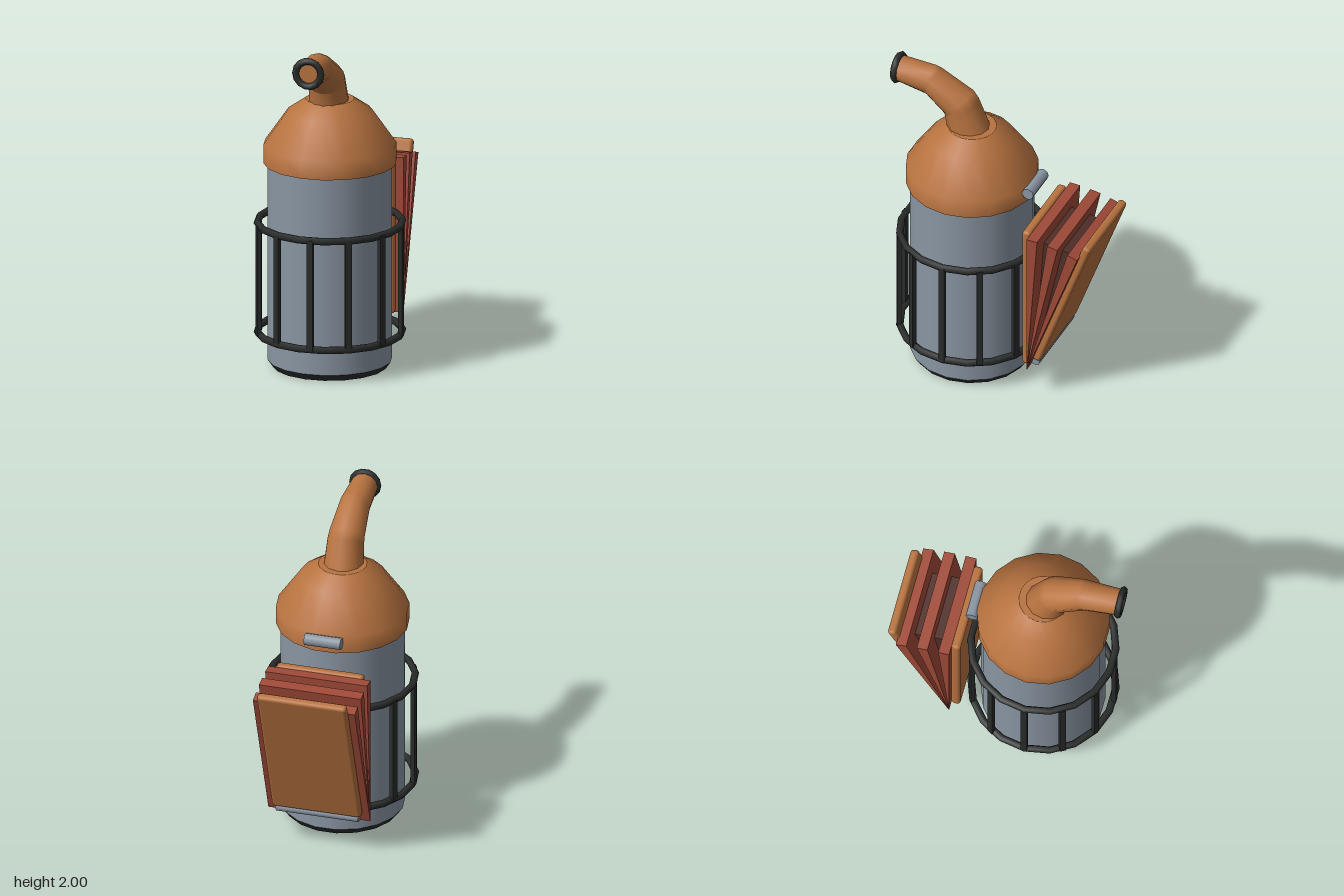
import * as THREE from 'three';
import { RoundedBoxGeometry } from 'three/addons/geometries/RoundedBoxGeometry.js';

const SIDES = 18;
const CAN_Z = 0.195;

const paint = (name, color) => {
  const m = new THREE.MeshStandardMaterial({ color });
  m.name = name;
  return m;
};

// Triangular slice fanned out from the hinge line, extruded across x
function slice(from, to, radius, halfWidth) {
  const s = new THREE.Shape();
  s.moveTo(0, 0);
  for (const a of [to, from]) s.lineTo(radius * Math.sin(a), radius * Math.cos(a));
  s.closePath();
  return new THREE.ExtrudeGeometry(s, { depth: halfWidth * 2, bevelEnabled: false })
    .translate(0, 0, -halfWidth)
    .rotateY(Math.PI / 2);
}

// Loft through tilted rings: [lower z, lower y, upper z, upper y, half width]
function loft(rings, sides) {
  const pos = [], idx = [];
  rings.forEach(([z0, y0, z1, y1, w], r) => {
    for (let i = 0; i < sides; i++) {
      const t = (i / sides) * Math.PI * 2, s = Math.sin(t) / 2;
      pos.push(w * Math.cos(t), (y0 + y1) / 2 + s * (y1 - y0), (z0 + z1) / 2 + s * (z1 - z0));
      if (r === rings.length - 1) continue;
      const a = r * sides + i, b = r * sides + ((i + 1) % sides);
      idx.push(a, b, a + sides, b, b + sides, a + sides);
    }
  });
  const g = new THREE.BufferGeometry();
  g.setAttribute('position', new THREE.Float32BufferAttribute(pos, 3));
  g.setIndex(idx);
  g.computeVertexNormals();
  return g;
}

export function createModel() {
  const copper = paint('copper', 0xb87340);
  const steel = paint('steel', 0x8a96a3);
  const black = paint('black iron', 0x2a2c2c);
  const leather = paint('red leather', 0xa04a38);
  const fold = paint('dark fold', 0x50302a);

  const model = new THREE.Group();
  model.name = 'smoker';
  const add = (name, geometry, material, x = 0, y = 0, z = 0, parent = model) => {
    const mesh = new THREE.Mesh(geometry, material);
    mesh.name = name;
    mesh.position.set(x, y, z);
    parent.add(mesh);
    return mesh;
  };
  const lathe = (points) => new THREE.LatheGeometry(
    points.map(([r, y]) => new THREE.Vector2(r, y)), SIDES, Math.PI / 2);
  const drum = (top, bottom, height) =>
    new THREE.CylinderGeometry(top, bottom, height, SIDES).rotateY(Math.PI / 2);
  const rod = (radius, length) =>
    new THREE.CylinderGeometry(radius, radius, length, 8).rotateZ(Math.PI / 2);

  // Fire can and its base
  add('can', drum(0.365, 0.365, 1.2), steel, 0, 0.64, CAN_Z);
  add('base', drum(0.365, 0.337, 0.04), black, 0, 0.02, CAN_Z);

  // Domed lid
  add('lid', lathe([[0.39, 1.235], [0.39, 1.347], [0.25, 1.548], [0.143, 1.622]]), copper, 0, 0, CAN_Z);
  add('lidTop', lathe([[0.143, 1.622], [0, 1.622]]), copper, 0, 0, CAN_Z);
  add('lidUnderside', lathe([[0, 1.235], [0.39, 1.235]]), copper, 0, 0, CAN_Z);
  add('lidHinge', rod(0.037, 0.22), steel, 0, 1.315, -0.209);

  // Bent, tapering spout with a dark lip
  add('spout', loft([
    [0.34, 1.58, 0.075, 1.58, 0.12],
    [0.36, 1.69, 0.164, 1.795, 0.111],
    [0.365, 1.695, 0.2, 1.845, 0.108],
    [0.47, 1.786, 0.407, 1.955, 0.093],
    [0.48, 1.789, 0.44, 1.965, 0.091],
    [0.655, 1.821, 0.655, 1.978, 0.08],
  ], 12), copper);
  add('spoutEnd', new THREE.CircleGeometry(0.08, 12), copper, 0, 1.9, 0.655);
  add('spoutLip', new THREE.TorusGeometry(0.077, 0.021, 6, 14), black, 0, 1.902, 0.664);

  // Heat guard: two hoops joined by upright bars
  const guard = new THREE.Group();
  guard.name = 'heatGuard';
  guard.position.z = CAN_Z;
  model.add(guard);
  for (const y of [0.21, 0.872]) {
    add('guardHoop', new THREE.TorusGeometry(0.425, 0.022, 6, SIDES).rotateX(Math.PI / 2), black, 0, y, 0, guard);
  }
  for (let i = 0; i < 12; i++) {
    const a = (i / 12) * Math.PI * 2;
    const bar = add('guardBar', new THREE.BoxGeometry(0.038, 0.67, 0.026), black,
      0.43 * Math.sin(a), 0.541, 0.43 * Math.cos(a), guard);
    bar.rotation.y = a;
  }

  // Bellows boards and hinge
  add('frontBoard', new RoundedBoxGeometry(0.53, 0.955, 0.055, 2, 0.02), copper, 0, 0.681, -0.266);
  const backBoard = add('backBoard', new RoundedBoxGeometry(0.542, 0.96, 0.052, 2, 0.02), copper, 0, 0.705, -0.4925);
  backBoard.rotation.x = -THREE.MathUtils.degToRad(20);
  add('bellowsHinge', rod(0.028, 0.5), steel, 0, 0.235, -0.321);

  // Fanned bellows: wide leather slices alternating with recessed folds
  for (let i = 0; i < 5; i++) {
    const from = THREE.MathUtils.degToRad(i * 4), to = THREE.MathUtils.degToRad((i + 1) * 4);
    const outer = i % 2 === 0;
    add(outer ? 'leatherPleat' : 'innerFold',
      slice(from, to, outer ? 0.942 : 0.86, outer ? 0.31 : 0.197),
      outer ? leather : fold, 0, 0.204, -0.292);
  }
  return model;
}
